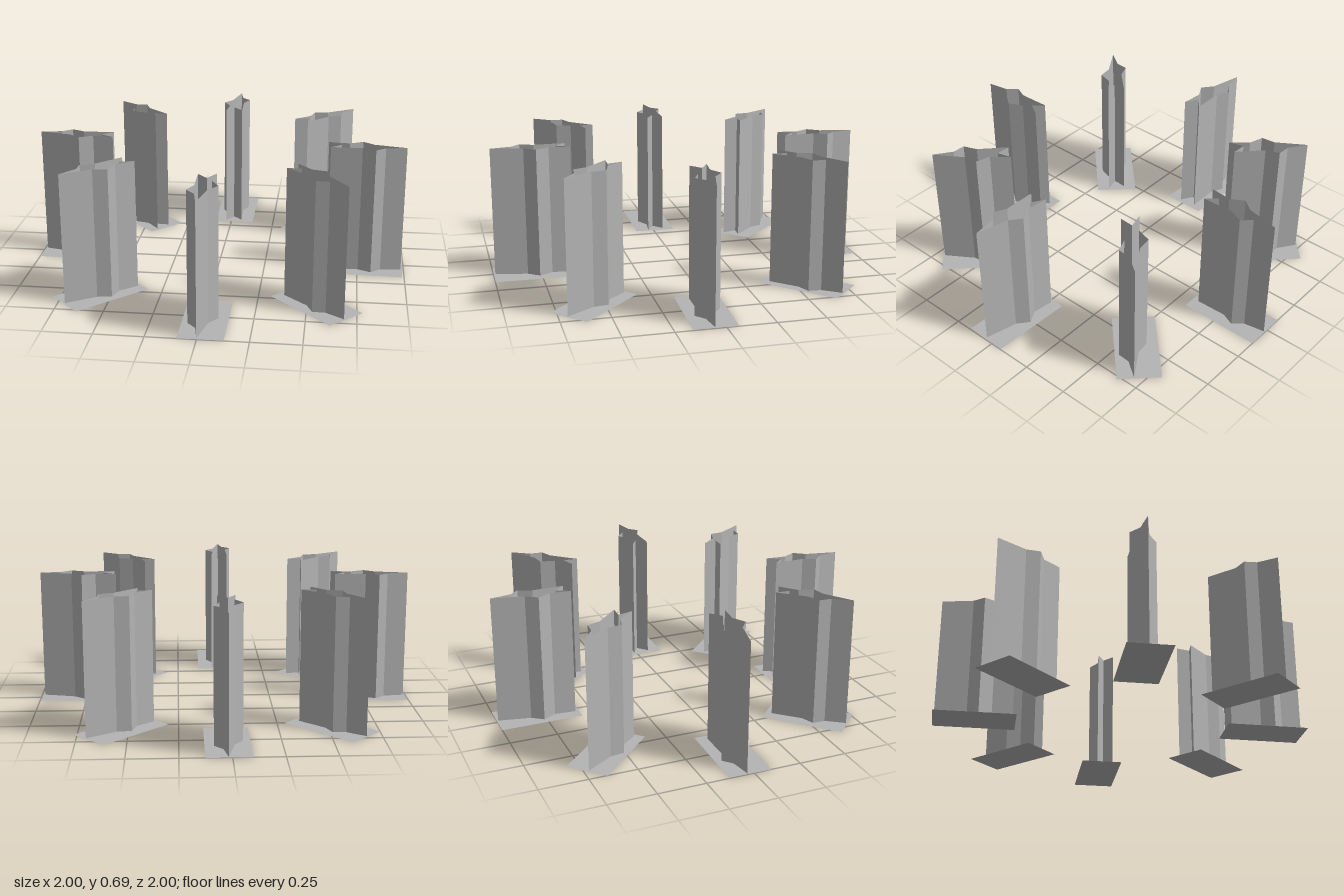
import * as THREE from 'three';

const HEIGHT = 0.685;
const RADIUS = 0.78;

// Stretched five-pointed star, as [tangent, radius from the ring centre]
const STAR = [
  [-0.01, 0.99], [0.025, 0.82], [0.07, 0.76], [0.03, 0.69], [0.04, 0.58],
  [0, 0.65], [-0.05, 0.595], [-0.045, 0.76], [-0.075, 0.83], [-0.03, 0.88],
];

// Ring places: [x, z, heading in degrees] of each base
const PLACES = [
  [0.015, 0.78, 0], [0.545, 0.55, 45], [0.775, 0.042, 88], [0.535, -0.57, 134.5],
  [0.015, -0.783, 180], [-0.52, -0.58, 224.5], [-0.78, -0.013, 268.5], [-0.56, 0.536, 314.5],
];

// Open-topped vertical wall following a closed outline
function wallGeometry(outline, height) {
  const v = [];
  outline.forEach(([ax, az], i) => {
    const [bx, bz] = outline[(i + 1) % outline.length];
    v.push(ax, 0, az, bx, 0, bz, bx, height, bz);
    v.push(ax, 0, az, bx, height, bz, ax, height, az);
  });
  const g = new THREE.BufferGeometry();
  g.setAttribute('position', new THREE.Float32BufferAttribute(v, 3));
  g.computeVertexNormals();
  return g;
}

export function createModel() {
  const model = new THREE.Group();
  model.name = 'pillarRing';
  const grey = new THREE.MeshStandardMaterial({ color: 0xb4b4b4, side: THREE.DoubleSide });
  grey.name = 'grey';

  const wall = wallGeometry(STAR.map(([t, u]) => [t, u - RADIUS]), HEIGHT);
  const plate = new THREE.PlaneGeometry(0.225, 0.435).rotateX(-Math.PI / 2);

  PLACES.forEach(([x, z, heading], i) => {
    const angle = THREE.MathUtils.degToRad(heading);
    const pillar = new THREE.Group();
    pillar.name = `pillar${i + 1}`;
    pillar.position.set(x, 0, z);
    pillar.rotation.y = angle;

    // Flat rectangular base
    const base = new THREE.Mesh(plate, grey);
    base.name = 'basePlate';

    // Hollow star column, pulled back towards the true radial line
    const column = new THREE.Mesh(wall, grey);
    column.name = 'starColumn';
    column.position.x = -0.5 * (x * Math.cos(angle) - z * Math.sin(angle));

    pillar.add(base, column);
    model.add(pillar);
  });
  return model;
}
